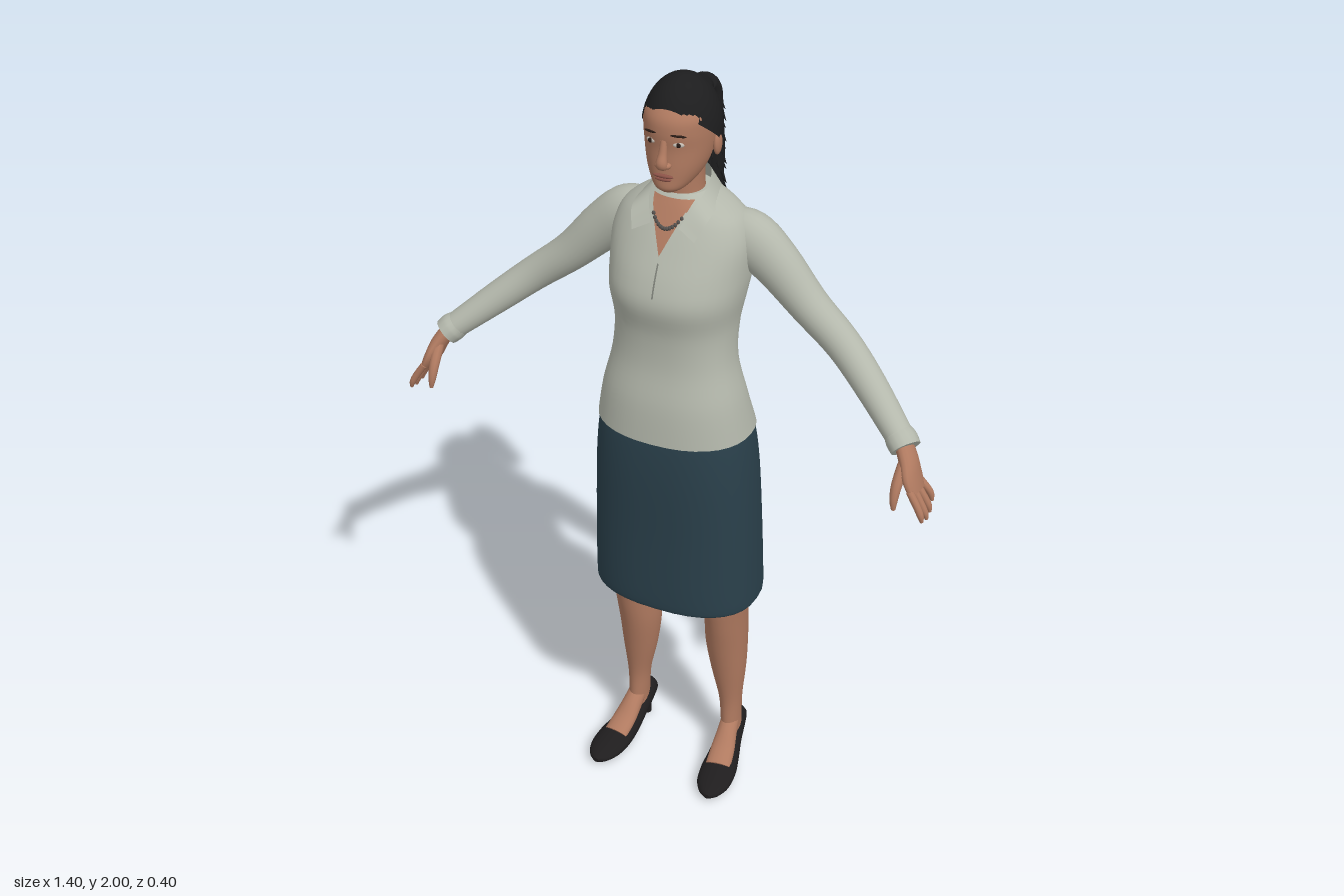
import * as THREE from 'three';

const mat = (name, color, side = THREE.FrontSide) => {
  const m = new THREE.MeshStandardMaterial({ color, side });
  m.name = name;
  return m;
};
const V = (x, y, z) => new THREE.Vector3(x, y, z);

// Catmull-Rom refinement of rows of numbers
function smooth(rows, n = 5) {
  const out = [];
  for (let i = 0; i < rows.length - 1; i++) {
    const a = rows[Math.max(i - 1, 0)], b = rows[i], c = rows[i + 1], d = rows[Math.min(i + 2, rows.length - 1)];
    for (let k = 0; k < n; k++) {
      const t = k / n;
      out.push(b.map((_, j) => b[j] + 0.5 * t * (c[j] - a[j] + t * (2 * a[j] - 5 * b[j] + 4 * c[j] - d[j]
        + t * (3 * (b[j] - c[j]) + d[j] - a[j])))));
    }
  }
  out.push(rows[rows.length - 1]);
  return out;
}

// Skin a list of point rings
function grid(rings, { closed = true, start = true, end = true } = {}) {
  const n = rings[0].length, pos = [], idx = [];
  rings.forEach(r => r.forEach(p => pos.push(p.x, p.y, p.z)));
  for (let i = 0; i < rings.length - 1; i++) {
    for (let j = 0; j < (closed ? n : n - 1); j++) {
      const k = (j + 1) % n, a = i * n, b = a + n;
      idx.push(a + j, b + j, b + k, a + j, b + k, a + k);
    }
  }
  const cap = (ring, flip) => {
    const c = ring.reduce((s, p) => s.add(p), V(0, 0, 0)).divideScalar(n), o = pos.length / 3;
    [c, ...ring].forEach(p => pos.push(p.x, p.y, p.z));
    for (let j = 0; j < n; j++) {
      const p = o + 1 + j, q = o + 1 + (j + 1) % n;
      idx.push(o, flip ? p : q, flip ? q : p);
    }
  };
  if (closed && start) cap(rings[0], true);
  if (closed && end) cap(rings[rings.length - 1], false);
  const g = new THREE.BufferGeometry();
  g.setAttribute('position', new THREE.Float32BufferAttribute(pos, 3));
  g.setIndex(idx);
  g.computeVertexNormals();
  return g;
}

// Upright body from rows [y, halfWidth, zFront, zBack, zMiddle, xCentre]
const spow = (v, p) => Math.sign(v) * Math.abs(v) ** p;
function loft(rows, p = 1, opt, n = 36) {
  return grid(rows.map(([y, rx, zf, zb, cz, cx = 0]) => Array.from({ length: n }, (_, j) => {
    const a = j / n * Math.PI * 2, s = spow(Math.sin(a), p);
    return V(cx + rx * spow(Math.cos(a), p), y, cz + s * (s > 0 ? zf - cz : cz - zb));
  })), opt);
}
// Front z of a loft at x, y
function frontZ(rows, p, x, y) {
  const i = Math.max(1, rows.findIndex(r => r[0] >= y)), a = rows[i - 1], b = rows[i];
  const t = (y - a[0]) / (b[0] - a[0]), [, rx, zf, , cz] = a.map((v, k) => v + (b[k] - v) * t);
  return cz + (zf - cz) * Math.max(0, 1 - Math.abs(x / rx) ** (2 / p)) ** (p / 2);
}

// Limb from rows [x, y, z, r1, r2]; r2 lies towards ref
function limb(rows, ref = V(0, 0, 1), n = 16, sub = 5) {
  const rs = smooth(rows, sub), at = i => V(...rs[Math.min(Math.max(i, 0), rs.length - 1)]);
  return grid(rs.map((r, i) => {
    const t = at(i + 1).sub(at(i - 1)).normalize();
    const n1 = t.clone().cross(ref).normalize(), n2 = n1.clone().cross(t);
    return Array.from({ length: n }, (_, j) => {
      const a = j / n * Math.PI * 2;
      return at(i).addScaledVector(n1, r[3] * Math.cos(a)).addScaledVector(n2, r[4] * Math.sin(a));
    });
  }));
}

export function createModel() {
  const D = THREE.DoubleSide, root = new THREE.Group();
  const skin = mat('skin', 0xb07a60), hairM = mat('hair', 0x1d1d1e, D), shirt = mat('shirt', 0xb4b8ac, D);
  const skirtM = mat('skirt', 0x2a404b, D), shoeM = mat('shoe', 0x1f1d1e), lip = mat('lips', 0x8c5348);
  const white = mat('eye white', 0xc9c2b8), dark = mat('iris', 0x2a1c16), bead = mat('necklace', 0x55514e);
  const seam = mat('seam', 0x7d8078);
  const add = (name, geo, m, parent = root) => {
    const o = new THREE.Mesh(geo, m);
    o.name = name;
    parent.add(o);
    return o;
  };
  const ball = (name, m, x, y, z, sx, sy, sz) => {
    const o = add(name, new THREE.SphereGeometry(1, 16, 12), m);
    o.position.set(x, y, z);
    o.scale.set(sx, sy, sz);
    return o;
  };

  // Skirt and shirt body
  add('skirt', loft(smooth([
    [0.58, 0.22, 0.162, -0.143, 0.01], [0.61, 0.222, 0.168, -0.143, 0.01], [0.8, 0.217, 0.17, -0.132, 0.015],
    [0.98, 0.208, 0.174, -0.125, 0.02], [1.09, 0.196, 0.17, -0.114, 0.025], [1.14, 0.182, 0.16, -0.095, 0.03]]), 0.82, { start: false }), skirtM);
  const torso = smooth([
    [1.1, 0.201, 0.176, -0.119, 0.025], [1.2, 0.182, 0.168, -0.084, 0.035], [1.3, 0.157, 0.15, -0.07, 0.035],
    [1.39, 0.154, 0.15, -0.086, 0.02], [1.47, 0.167, 0.165, -0.105, 0.01], [1.53, 0.174, 0.15, -0.112, -0.01],
    [1.6, 0.175, 0.115, -0.115, -0.02], [1.65, 0.158, 0.088, -0.112, -0.025], [1.68, 0.128, 0.07, -0.106, -0.025],
    [1.705, 0.088, 0.054, -0.095, -0.025], [1.72, 0.06, 0.042, -0.08, -0.02]]);
  add('shirtBody', loft(torso, 0.88, { start: false }), shirt);

  // Thin plates that follow the chest
  const plate = (name, m, y0, y1, left, right, lift) => add(name, grid(Array.from({ length: 13 }, (_, i) => {
    const t = i / 12, y = y0 + (y1 - y0) * t;
    return Array.from({ length: 9 }, (_, j) => {
      const x = right(t) + (left(t) - right(t)) * j / 8;
      return V(x, y, frontZ(torso, 0.88, x, y) + lift);
    });
  }), { closed: false }), m);
  plate('openNeckline', skin, 1.585, 1.712, t => -0.052 * t ** 0.9, t => 0.052 * t ** 0.9, 0.004);
  for (const s of [-1, 1]) plate('necklineEdge', shirt, 1.58, 1.69, t => s * 0.047 * t - 0.006, t => s * 0.047 * t + 0.006, 0.008);
  plate('placketSeam', seam, 1.5, 1.585, () => -0.002, () => 0.002, 0.003);

  // Folded collar: ribbon between its fold and its outer edge
  const edge = pts => new THREE.CatmullRomCurve3([
    ...pts.slice(1).reverse().map(p => V(...p)), ...pts.map(p => V(-p[0], p[1], p[2]))]).getPoints(48);
  const fold = edge([[0, 1.757, -0.083], [0.045, 1.752, -0.062], [0.066, 1.735, -0.005], [0.06, 1.705, 0.05], [0.036, 1.66, 0.094]]);
  const rim = edge([[0, 1.695, -0.11], [0.06, 1.695, -0.094], [0.094, 1.695, -0.015], [0.097, 1.678, 0.066], [0.08, 1.637, 0.104]]);
  add('collar', grid([rim, fold].map(r => r.reverse().map(p => p.clone())), { closed: false }), shirt);

  // Neck and head
  add('neck', loft(smooth([[1.66, 0.058, 0.04, -0.075, -0.015], [1.73, 0.05, 0.042, -0.065, -0.01], [1.81, 0.052, 0.045, -0.062, -0.01]])), skin);
  const head = smooth([
    [1.743, 0.022, 0.088, 0.04, 0.06], [1.755, 0.04, 0.1, 0.01, 0.05], [1.78, 0.06, 0.1, -0.02, 0.025],
    [1.81, 0.073, 0.099, -0.05, 0.01], [1.85, 0.081, 0.097, -0.075, 0], [1.89, 0.083, 0.1, -0.09, 0],
    [1.925, 0.08, 0.094, -0.09, 0], [1.96, 0.058, 0.066, -0.07, 0], [1.985, 0.03, 0.035, -0.035, 0]]);
  add('head', loft(head, 0.95), skin);
  const hz = (x, y) => frontZ(head, 0.95, x, y);
  add('nose', limb([[0, 1.875, 0.094, 0.008, 0.008], [0, 1.845, 0.101, 0.01, 0.01], [0, 1.822, 0.108, 0.014, 0.013], [0, 1.811, 0.104, 0.013, 0.008]]), skin);
  ball('upperLip', lip, 0, 1.789, hz(0, 1.789), 0.026, 0.005, 0.006);
  ball('lowerLip', lip, 0, 1.781, hz(0, 1.781), 0.021, 0.005, 0.006);
  for (const s of [-1, 1]) {
    const x = 0.035 * s;
    ball('nostril', skin, 0.012 * s, 1.816, 0.1, 0.008, 0.007, 0.01);
    ball('eye', white, x, 1.868, hz(x, 1.868), 0.013, 0.006, 0.003).rotation.y = 0.35 * s;
    ball('iris', dark, x, 1.868, hz(x, 1.868) + 0.002, 0.006, 0.006, 0.003);
    ball('eyebrow', dark, x, 1.89, hz(x, 1.89), 0.019, 0.003, 0.003).rotation.set(0, 0.35 * s, -0.08 * s);
    ball('ear', skin, 0.085 * s, 1.84, -0.012, 0.009, 0.028, 0.017);
  }

  // Hair cap with a hairline that drops from forehead to nape
  add('hairCap', grid(Array.from({ length: 17 }, (_, i) => Array.from({ length: 40 }, (_, j) => {
    const a = j / 40 * Math.PI * 2, f = Math.sin(a), line = 1.86 + (f > 0 ? 0.085 : 0.08) * f;
    const th = (1 - i / 16 * 0.999) * Math.acos((line - 1.87) / 0.13);
    return V(0.092 * Math.sin(th) * Math.cos(a), 1.87 + 0.13 * Math.cos(th), -0.003 + 0.105 * Math.sin(th) * f);
  })), { start: false, end: false }), hairM);

  // Ponytail with ragged locks
  const tail = [[0, 1.9, -0.085, 0.02, 0.02], [0, 1.932, -0.115, 0.028, 0.022], [0, 1.91, -0.143, 0.034, 0.025],
    [0, 1.84, -0.148, 0.036, 0.03], [0, 1.74, -0.155, 0.038, 0.03], [0, 1.66, -0.16, 0.03, 0.022], [0, 1.63, -0.163, 0.01, 0.008]];
  add('ponytail', limb(tail), hairM);
  let seed = 7;
  const rnd = () => (seed = seed * 16807 % 2147483647) / 2147483647;
  for (let i = 0; i < 9; i++) for (let j = 0; j < 8; j++) {
    const a = (j + (i % 2) / 2 + 0.3 * rnd()) / 8 * Math.PI * 2, y = 1.89 - i * 0.027 - 0.012 * rnd();
    const dir = V(Math.cos(a) * 0.5, -1, Math.sin(a) * 0.65).normalize();
    const o = add('lock', new THREE.ConeGeometry(0.014, 0.06, 5), hairM);
    o.position.set(0.028 * Math.cos(a), y - 0.01, -0.148 - (1.9 - y) * 0.05 + 0.023 * Math.sin(a));
    o.quaternion.setFromUnitVectors(V(0, 1, 0), dir);
  }

  // Bead necklace
  for (let i = 0; i <= 12; i++) {
    const u = i / 6 - 1, x = 0.036 * u, y = 1.652 + 0.025 * u * u;
    ball('bead', bead, x, y, frontZ(torso, 0.88, x, y) + 0.007, 0.0045, 0.0055, 0.004);
  }

  for (const s of [1, -1]) {
    const side = s > 0 ? 'left' : 'right';
    const m = rows => rows.map(([x, ...r]) => [x * s, ...r]);
    // Sleeve and cuff
    add(side + 'Sleeve', limb(m([
      [0.09, 1.608, -0.045, 0.055, 0.05], [0.155, 1.597, -0.045, 0.07, 0.058], [0.225, 1.548, -0.042, 0.061, 0.054],
      [0.315, 1.46, -0.035, 0.049, 0.048], [0.41, 1.385, -0.02, 0.044, 0.043], [0.5, 1.313, 0.02, 0.04, 0.04],
      [0.61, 1.225, 0.086, 0.032, 0.035]]), undefined, 24), shirt);
    add(side + 'Cuff', limb(m([[0.592, 1.24, 0.075, 0.034, 0.038], [0.604, 1.23, 0.082, 0.037, 0.041], [0.618, 1.217, 0.092, 0.035, 0.04]])), shirt);
    // Hand
    add(side + 'Palm', limb(m([[0.605, 1.235, 0.083, 0.02, 0.026], [0.63, 1.195, 0.102, 0.02, 0.034],
      [0.645, 1.16, 0.114, 0.018, 0.043], [0.661, 1.128, 0.119, 0.012, 0.04]])), skin);
    for (let k = 0; k < 4; k++) {
      const z = 0.088 + 0.021 * k, e = [0.018, 0.004, 0, 0.008][k];
      add(side + 'Finger', limb(m([[0.654, 1.142, z, 0.009, 0.011], [0.676, 1.105 + e / 2, z + (k - 1.5) * 0.004, 0.009, 0.009],
        [0.69 - e / 3, 1.08 + e, z + (k - 1.5) * 0.006, 0.008, 0.008], [0.694 - e / 3, 1.064 + e, z + (k - 1.5) * 0.006, 0.004, 0.004]]), undefined, 10, 3), skin);
    }
    add(side + 'Thumb', limb(m([[0.625, 1.195, 0.118, 0.014, 0.014], [0.622, 1.155, 0.152, 0.013, 0.013],
      [0.622, 1.12, 0.168, 0.01, 0.01], [0.624, 1.095, 0.172, 0.005, 0.005]]), V(1, 0, 0), 10, 3), skin);
    // Leg and foot
    add(side + 'Leg', loft(smooth([
      [0.07, 0.026, 0.02, -0.06, -0.025, 0.142], [0.13, 0.027, 0.016, -0.06, -0.022, 0.14], [0.2, 0.031, 0.017, -0.06, -0.02, 0.138],
      [0.3, 0.046, 0.034, -0.074, -0.018, 0.132], [0.4, 0.054, 0.055, -0.082, -0.012, 0.128], [0.5, 0.054, 0.078, -0.082, 0, 0.13],
      [0.6, 0.06, 0.098, -0.08, 0.01, 0.128], [0.78, 0.075, 0.11, -0.085, 0.01, 0.118]]).map(r => [...r.slice(0, 5), r[5] * s]), 1, {}, 24), skin);
    add(side + 'Foot', limb(m([[0.14, 0.13, -0.03, 0.024, 0.02], [0.144, 0.095, 0.01, 0.027, 0.025],
      [0.15, 0.062, 0.055, 0.033, 0.02], [0.156, 0.04, 0.1, 0.035, 0.018]]), V(0, 1, 0)), skin);
    // Court shoe with a slim heel
    add(side + 'Shoe', limb(m([[0.137, 0.102, -0.083, 0.014, 0.022], [0.137, 0.098, -0.074, 0.027, 0.034], [0.139, 0.085, -0.045, 0.033, 0.031],
      [0.144, 0.056, 0, 0.036, 0.026], [0.151, 0.034, 0.05, 0.043, 0.027], [0.158, 0.025, 0.1, 0.049, 0.026],
      [0.164, 0.02, 0.15, 0.045, 0.02], [0.167, 0.017, 0.185, 0.028, 0.014], [0.168, 0.016, 0.2, 0.008, 0.007]]), V(0, 1, 0), 24), shoeM);
    add(side + 'Heel', loft(smooth([[0, 0.012, -0.05, -0.074, -0.062, 0.138], [0.03, 0.013, -0.046, -0.074, -0.06, 0.138],
      [0.06, 0.02, -0.034, -0.078, -0.058, 0.138], [0.09, 0.028, -0.02, -0.082, -0.055, 0.138]]).map(r => [...r.slice(0, 5), r[5] * s]), 1, {}, 16), shoeM);
  }
  return root;
}
